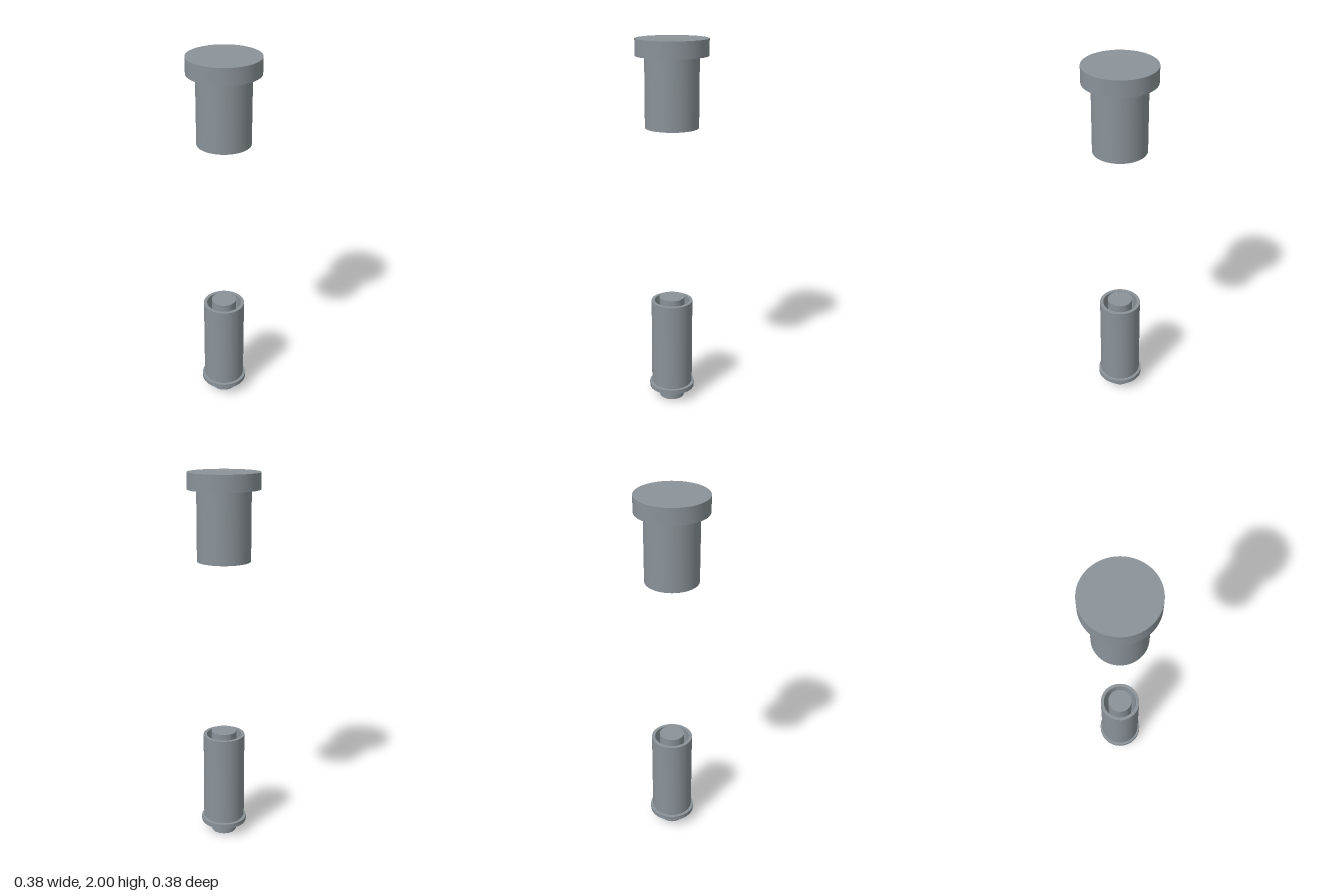
import * as THREE from 'three';
import { toCreasedNormals } from 'three/addons/utils/BufferGeometryUtils.js';

const SEGMENTS = 64;

// Turned part from a [radius, height] profile, listed from bottom centre outward and up
function turned(name, profile, material) {
  const points = profile.map(([r, y]) => new THREE.Vector2(r, y));
  const geometry = toCreasedNormals(new THREE.LatheGeometry(points, SEGMENTS), Math.PI / 6);
  const mesh = new THREE.Mesh(geometry, material);
  mesh.name = name;
  return mesh;
}

export function createModel() {
  const steel = new THREE.MeshStandardMaterial({ color: 0x8b9399 });
  steel.name = 'steel grey';

  const model = new THREE.Group();
  model.name = 'explodedPlugAndSocket';

  // Upper plug: solid shank under a wide round head
  model.add(turned('plug', [
    [0, 1.55], [0.14, 1.55], [0.14, 1.915], [0.188, 1.915], [0.188, 2], [0, 2],
  ], steel));

  // Lower connector: pin, flange and open-topped sleeve
  const connector = new THREE.Group();
  connector.name = 'connector';
  connector.add(turned('centrePin', [
    [0, 0], [0.068, 0], [0.068, 0.605], [0, 0.605],
  ], steel));
  connector.add(turned('flange', [
    [0.06, 0.062], [0.125, 0.062], [0.125, 0.087], [0.06, 0.087],
  ], steel));
  connector.add(turned('neckRing', [
    [0.06, 0.085], [0.108, 0.085], [0.108, 0.097], [0.06, 0.097],
  ], steel));
  connector.add(turned('sleeve', [
    [0.095, 0.095], [0.113, 0.095], [0.113, 0.585], [0.095, 0.585], [0.095, 0.095],
  ], steel));
  model.add(connector);

  return model;
}
